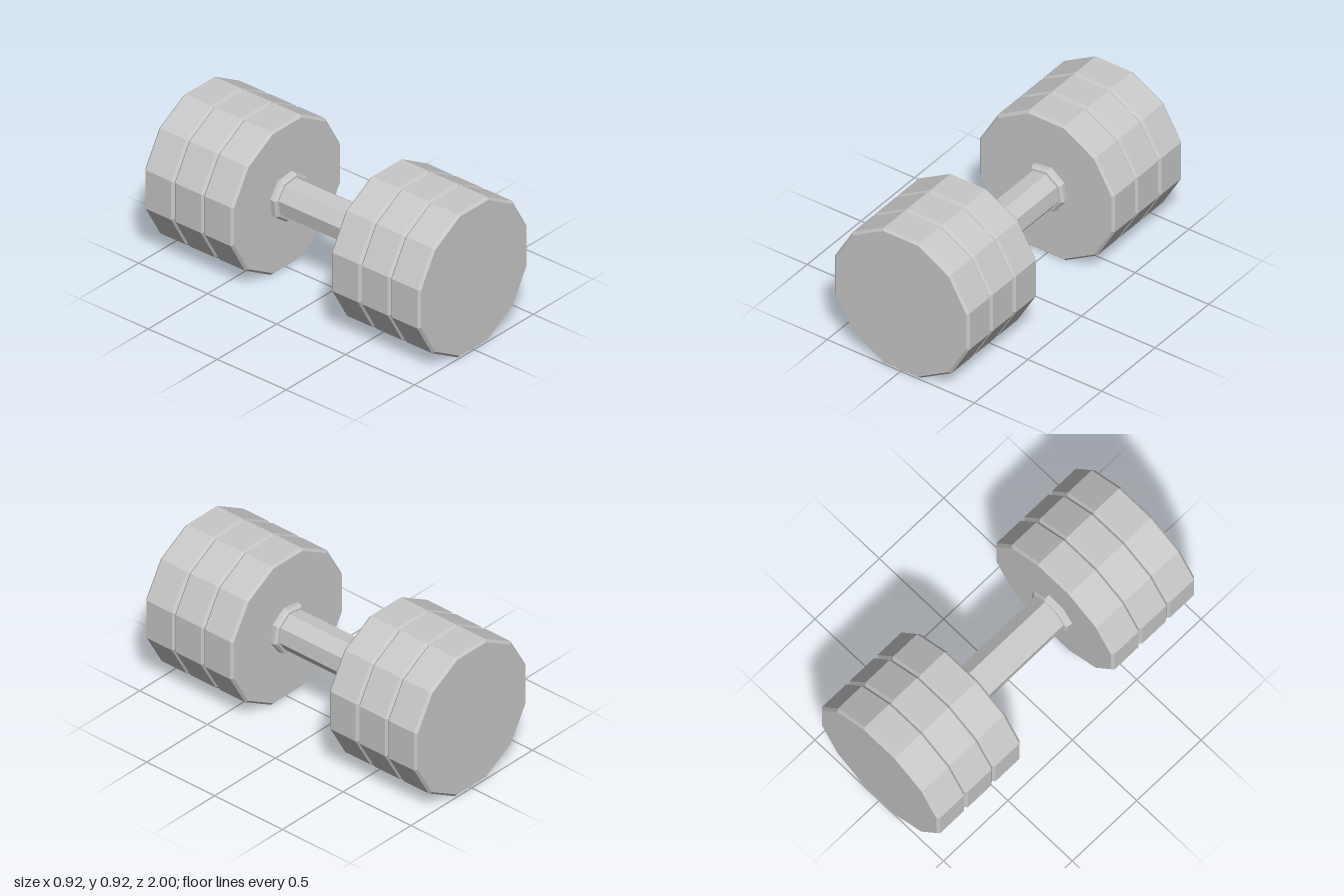
import * as THREE from 'three';

const CENTER_Y = 0.46;

// Faceted prism along z with its own chamfer at each end.
// startDeg is the angle of the first corner, measured from +x.
function facetedBar(name, material, sides, startDeg, radius, z0, z1, chamfer0, chamfer1) {
  const profile = [new THREE.Vector2(0, z0), new THREE.Vector2(radius - chamfer0, z0)];
  if (chamfer0 > 0) profile.push(new THREE.Vector2(radius, z0 + chamfer0));
  if (chamfer1 > 0) profile.push(new THREE.Vector2(radius, z1 - chamfer1));
  profile.push(new THREE.Vector2(radius - chamfer1, z1), new THREE.Vector2(0, z1));
  const phi = THREE.MathUtils.degToRad(startDeg + 90);
  const geometry = new THREE.LatheGeometry(profile, sides, phi).rotateX(Math.PI / 2).toNonIndexed();
  geometry.computeVertexNormals(); // hard facets
  const mesh = new THREE.Mesh(geometry, material);
  mesh.name = name;
  mesh.position.y = CENTER_Y;
  return mesh;
}

export function createModel() {
  const model = new THREE.Group();
  model.name = 'dumbbell';

  const steel = new THREE.MeshStandardMaterial({ color: 0xc8c8c8 });
  steel.name = 'grey steel';

  // Eight-sided grip
  model.add(facetedBar('handle', steel, 8, 31, 0.12, -0.325, 0.325, 0, 0));

  const inner = 0.355;
  const thickness = (1 - inner) / 3;
  for (const side of [1, -1]) {
    const end = new THREE.Group();
    end.name = side > 0 ? 'frontWeights' : 'backWeights';

    // Collar, chamfered towards the grip
    const c = [0.315, inner].map((z) => z * side).sort((a, b) => a - b);
    end.add(facetedBar('collar', steel, 8, 31, 0.147, c[0], c[1],
      side > 0 ? 0.014 : 0, side > 0 ? 0 : 0.014));

    // Three twelve-sided plates
    for (let i = 0; i < 3; i++) {
      const a = side * (inner + i * thickness);
      const b = side * (inner + (i + 1) * thickness);
      end.add(facetedBar('weightPlate' + (i + 1), steel, 12, 15, 0.475,
        Math.min(a, b), Math.max(a, b), 0.015, 0.015));
    }
    model.add(end);
  }
  return model;
}
